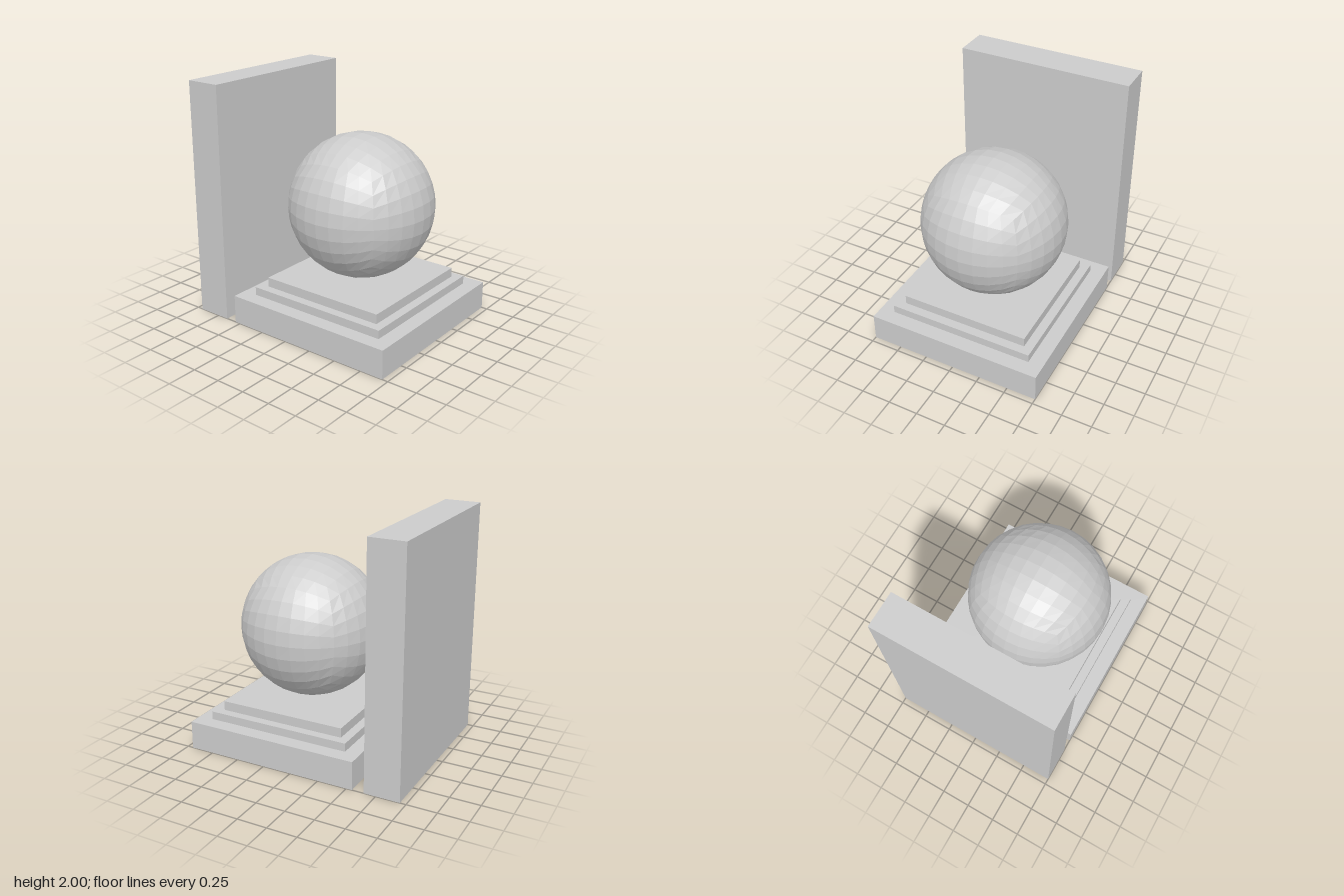
import * as THREE from 'three';

export function createModel() {
  const group = new THREE.Group();
  const stone = new THREE.MeshStandardMaterial({ color: 0xcccccc, flatShading: true });
  stone.name = 'light grey stone';

  const add = (name, geometry, x, y, z) => {
    const mesh = new THREE.Mesh(geometry, stone);
    mesh.name = name;
    mesh.position.set(x, y, z);
    group.add(mesh);
  };

  // Stepped square pedestal: [name, width, bottom, top]
  const centreZ = 0.2;
  const steps = [
    ['pedestalBase', 1.5, 0, 0.24],
    ['pedestalMiddleStep', 1.25, 0.24, 0.31],
    ['pedestalTopStep', 1.1, 0.31, 0.39],
  ];
  for (const [name, width, y0, y1] of steps) {
    add(name, new THREE.BoxGeometry(width, y1 - y0, width), 0, (y0 + y1) / 2, centreZ);
  }

  // Ball: a subdivided cube pushed out to a sphere with equal-angle spacing
  const radius = 0.6;
  const ball = new THREE.BoxGeometry(2, 2, 2, 8, 8, 8);
  const pos = ball.attributes.position;
  const v = new THREE.Vector3();
  const spread = (t) => Math.tan((t * Math.PI) / 4);
  for (let i = 0; i < pos.count; i++) {
    v.fromBufferAttribute(pos, i);
    v.set(spread(v.x), spread(v.y), spread(v.z)).setLength(radius);
    pos.setXYZ(i, v.x, v.y, v.z);
  }
  ball.computeVertexNormals();
  add('ball', ball, 0, 1, centreZ);

  // Upright slab standing behind the pedestal
  add('backSlab', new THREE.BoxGeometry(1.5, 2, 0.3), 0, 1, -0.8);

  return group;
}
